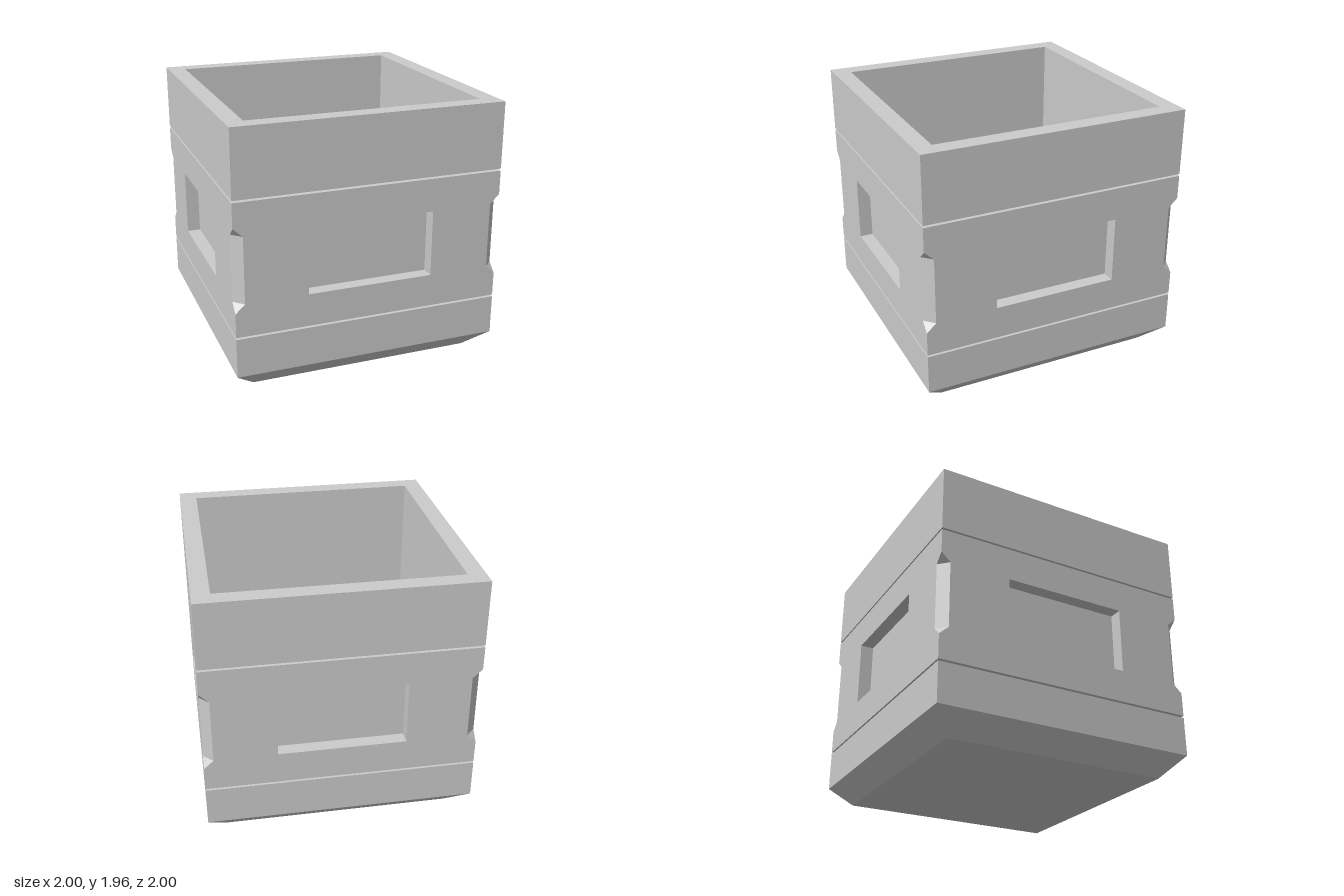
import * as THREE from 'three';

const stone = new THREE.MeshStandardMaterial({ color: 0xcccccc });
stone.name = 'lightGreyStone';

// faceted mesh with one normal per face
function part(name, geometry) {
  const flat = geometry.index ? geometry.toNonIndexed() : geometry;
  flat.computeVertexNormals();
  const mesh = new THREE.Mesh(flat, stone);
  mesh.name = name;
  return mesh;
}

// square ring swept from a profile of [half width, y]
function squareLathe(name, profile) {
  const points = profile.map(([half, y]) => new THREE.Vector2(half * Math.SQRT2, y));
  return part(name, new THREE.LatheGeometry(points, 4, Math.PI / 4));
}

const shapeOf = (pts) => pts.map(([x, y]) => new THREE.Vector2(x, y));

// middle band
const bandLow = 0.465, bandHigh = 1.45;
// corner notch
const cut = 0.93, notchLow = 0.71, notchHigh = 1.205, tipLow = 0.645, tipHigh = 1.27;
// recessed panel
const panelHalf = 0.47, panelDepth = 0.1;

function wallGeometry() {
  const right = [[1, bandLow], [1, tipLow], [cut, notchLow], [cut, notchHigh], [1, tipHigh], [1, bandHigh]];
  const left = right.map(([x, y]) => [-x, y]).reverse();
  const shape = new THREE.Shape(shapeOf([...right, ...left]));
  shape.holes.push(new THREE.Path(shapeOf([
    [-panelHalf, notchLow], [-panelHalf, notchHigh], [panelHalf, notchHigh], [panelHalf, notchLow],
  ])));
  return new THREE.ShapeGeometry(shape).translate(0, 0, 1);
}

// inward-facing box without its front face
function recessGeometry() {
  const box = new THREE.BoxGeometry(panelHalf * 2, notchHigh - notchLow, panelDepth);
  const faces = Array.from(box.index.array).filter((_, i) => i < 24 || i >= 30);
  box.setIndex(faces.reverse());
  return box.translate(0, (notchLow + notchHigh) / 2, 1 - panelDepth / 2);
}

// bevelled corner strip with pointed ends
function notchGeometry() {
  const g = new THREE.BufferGeometry();
  g.setAttribute('position', new THREE.Float32BufferAttribute([
    1, tipHigh, 1, cut, notchHigh, 1, 1, notchHigh, cut,
    cut, notchLow, 1, 1, notchLow, cut, 1, tipLow, 1,
  ], 3));
  g.setIndex([0, 1, 2, 1, 3, 4, 1, 4, 2, 4, 3, 5]);
  return g;
}

export function createModel() {
  const model = new THREE.Group();
  model.name = 'squarePlanter';

  // bevelled foot, lower collar and lower groove
  model.add(squareLathe('base', [
    [0, 0], [0.845, 0], [1, 0.155], [1, 0.45], [0.965, 0.45], [0.965, bandLow], [1, bandLow],
  ]));

  // upper groove, rim and hollow inside
  model.add(squareLathe('rimAndCavity', [
    [1, bandHigh], [0.96, bandHigh], [0.96, 1.465], [1, 1.465], [1, 1.96], [0.87, 1.96], [0.87, 0.155], [0, 0.155],
  ]));

  // four identical sides
  for (let i = 0; i < 4; i++) {
    const side = new THREE.Group();
    side.name = 'side';
    side.add(part('wall', wallGeometry()), part('panelRecess', recessGeometry()), part('cornerNotch', notchGeometry()));
    side.rotation.y = i * Math.PI / 2;
    model.add(side);
  }
  return model;
}
